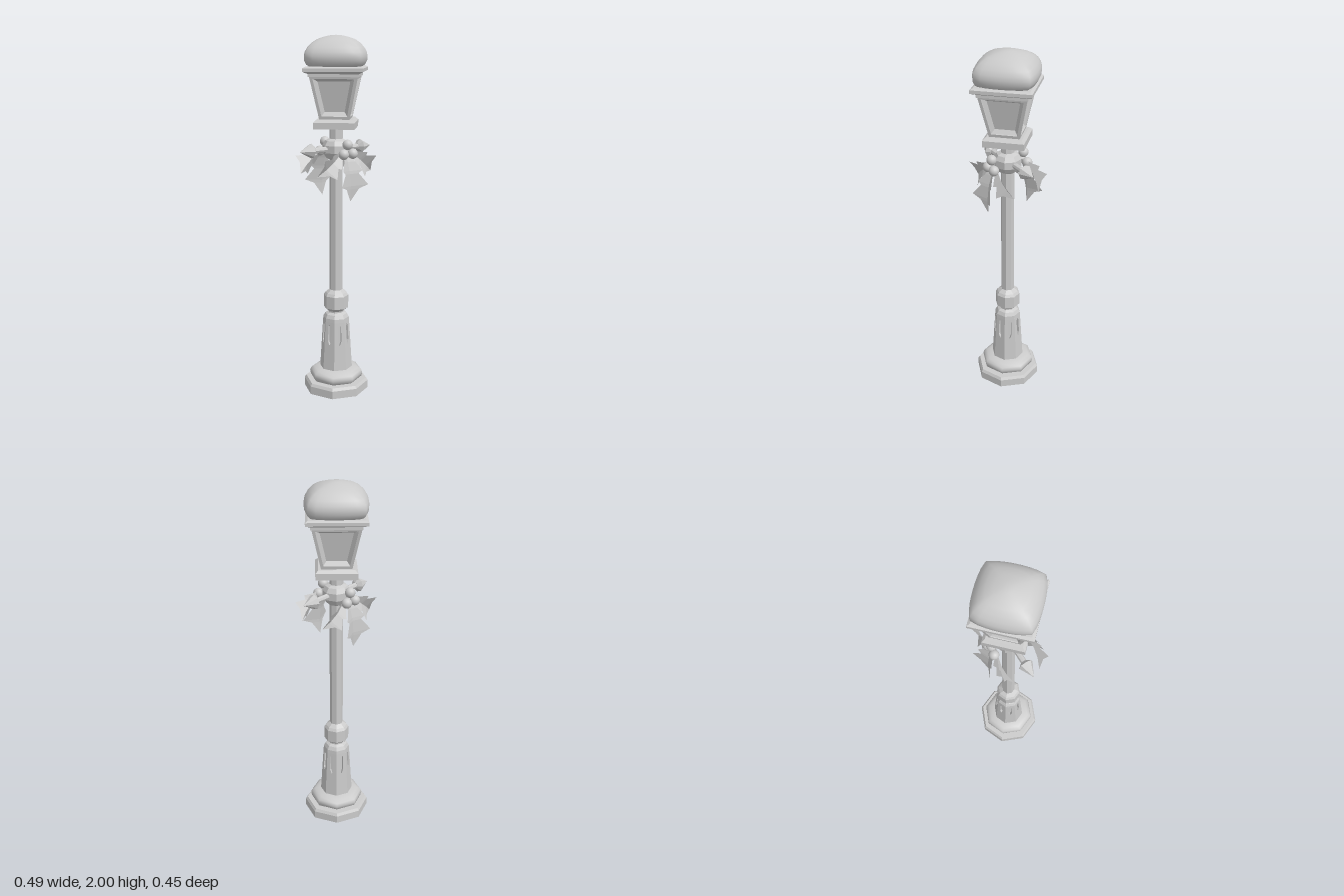
import * as THREE from 'three';
import { mergeVertices } from 'three/addons/utils/BufferGeometryUtils.js';

const flat = new THREE.MeshStandardMaterial({ color: 0xcccccc, flatShading: true });
const smooth = new THREE.MeshStandardMaterial({ color: 0xcccccc });
const thin = new THREE.MeshStandardMaterial({ color: 0xcccccc, flatShading: true, side: THREE.DoubleSide });
const V2 = ([x, y]) => new THREE.Vector2(x, y);

function add(parent, name, geometry, material = flat) {
  const mesh = new THREE.Mesh(geometry, material);
  mesh.name = name;
  parent.add(mesh);
  return mesh;
}

const turned = (points, sides) => new THREE.LatheGeometry(points.map(V2), sides);

function meshFrom(points, index) {
  const g = new THREE.BufferGeometry();
  g.setAttribute('position', new THREE.Float32BufferAttribute(points.flat(), 3));
  g.setIndex(index);
  g.computeVertexNormals();
  return g;
}

// Trapezoid plate with a hole, placed on one leaning side of a prism
function sidePanel(parent, name, { w0, w1, a0, a1, y0, y1, hole, depth, angle }) {
  const lean = Math.atan2(a1 - a0, y1 - y0);
  const h = Math.hypot(a1 - a0, y1 - y0);
  const shape = new THREE.Shape([[-w0, 0], [w0, 0], [w1, h], [-w1, h]].map(V2));
  shape.holes.push(new THREE.Path(hole.map(V2)));
  const g = new THREE.ExtrudeGeometry(shape, { depth, bevelEnabled: false });
  g.translate(0, 0, -depth);
  const place = (geo) => geo.rotateX(lean).translate(0, y0, a0).rotateY(angle);
  add(parent, name, place(g));
  return place;
}

// Holly leaf folded up along its rib: root and tip, half width, and how far the edges lift
function leafGeometry(root, tip, width, lift) {
  const a = new THREE.Vector3(...root), b = new THREE.Vector3(...tip);
  const along = b.clone().sub(a).normalize();
  const out = new THREE.Vector3(0, 0, 1);
  out.addScaledVector(along, -out.dot(along)).normalize();
  const across = along.clone().cross(out);
  const outline = [[0, 0.15], [0.22, 0.4], [0.4, 0.74], [0.46, 0.5], [0.7, 1], [0.76, 0.48], [1, 0]];
  const points = [], index = [];
  outline.forEach(([t, w], i) => {
    const rib = a.clone().lerp(b, t).addScaledVector(out, 0.02 * Math.sin(Math.PI * t));
    for (const s of [-1, 0, 1]) {
      const p = rib.clone().addScaledVector(across, s * w * width).addScaledVector(out, Math.abs(s) * w * lift);
      points.push(p.toArray());
    }
    if (i) for (const k of [0, 1]) {
      const q = 3 * (i - 1) + k;
      index.push(q, q + 1, q + 4, q, q + 4, q + 3);
    }
  });
  return meshFrom(points, index);
}

function buildPost(group) {
  add(group, 'basePlinth', turned([[0, 0], [0.185, 0], [0.185, 0.045], [0.175, 0.06], [0, 0.06]], 8));
  add(group, 'baseMoulding', turned([[0.135, 0.06], [0.148, 0.07], [0.153, 0.09], [0.147, 0.108],
    [0.128, 0.12], [0.1, 0.128], [0.08, 0.13]], 8), smooth);

  // Fluted pedestal: a core wrapped in eight slotted plates
  const pedestal = new THREE.Group();
  pedestal.name = 'pedestal';
  group.add(pedestal);
  add(pedestal, 'pedestalCore', turned([[0.074, 0.12], [0.06, 0.41]], 8));
  const c = Math.cos(Math.PI / 8), s = Math.sin(Math.PI / 8);
  for (let i = 0; i < 8; i++) {
    sidePanel(pedestal, 'flutedSide', {
      w0: 0.093 * s, w1: 0.075 * s, a0: 0.093 * c, a1: 0.075 * c, y0: 0.12, y1: 0.41,
      hole: [[0, 0.155], [0.01, 0.18], [0.01, 0.268], [0, 0.278], [-0.01, 0.268], [-0.01, 0.18]],
      depth: 0.014, angle: (i + 0.5) * Math.PI / 4,
    });
  }
  add(group, 'pedestalTop', turned([[0.05, 0.408], [0.075, 0.408], [0.073, 0.43], [0.062, 0.45], [0.045, 0.46],
    [0.045, 0.468], [0.07, 0.488], [0.07, 0.56], [0.06, 0.575], [0.037, 0.593]], 8));
  add(group, 'pole', turned([[0.037, 0.45], [0.037, 1.52]], 8));
  add(group, 'upperCollar', turned([[0.037, 1.335], [0.055, 1.345], [0.075, 1.375], [0.075, 1.415],
    [0.06, 1.44], [0.037, 1.45]], 8));
}

function buildCrossbar(group) {
  add(group, 'crossbar', new THREE.CylinderGeometry(0.016, 0.016, 0.32, 8).rotateZ(Math.PI / 2).translate(0, 1.395, 0));
  for (const side of [-1, 1]) {
    const spike = turned([[0, 0.15], [0.018, 0.15], [0.04, 0.168], [0, 0.245]], 8);
    add(group, 'crossbarSpike', spike.rotateZ(-side * Math.PI / 2).translate(0, 1.395, 0));
  }
}

function buildHolly(group) {
  for (const turn of [0, Math.PI]) {
    const sprig = new THREE.Group();
    sprig.name = 'hollySprig';
    sprig.rotation.y = turn;
    group.add(sprig);
    add(sprig, 'middleLeaf', leafGeometry([0, 1.39, 0.08], [0, 1.12, 0.125], 0.09, 0.04), thin);
    for (const side of [-1, 1]) {
      add(sprig, 'sideLeaf', leafGeometry([side * 0.02, 1.39, 0.08], [side * 0.185, 1.265, 0.075], 0.068, 0.04), thin);
    }
    for (const [x, y, z] of [[0, 1.425, 0.1], [-0.031, 1.375, 0.105], [0.031, 1.375, 0.105]]) {
      add(sprig, 'berry', new THREE.SphereGeometry(0.028, 16, 12).translate(x, y, z), smooth);
    }
  }
}

function buildLantern(group) {
  const lantern = new THREE.Group();
  lantern.name = 'lantern';
  group.add(lantern);
  // Square parts stand with their corners on the axes
  add(lantern, 'lanternBase', turned([[0, 1.51], [0.157, 1.51], [0.157, 1.545], [0.135, 1.56], [0, 1.56]], 4));
  add(lantern, 'lanternCornice', turned([[0, 1.785], [0.188, 1.785], [0.188, 1.8], [0.225, 1.812],
    [0.225, 1.83], [0.205, 1.838], [0, 1.838]], 4));

  // Tapered frames with bevelled, recessed panes
  const r = Math.SQRT1_2, w0 = 0.115 * r, w1 = 0.182 * r;
  const h = Math.hypot(w1 - w0, 0.23);
  const inset = (m, z) => {
    const at = (y) => w0 + (w1 - w0) * y / h - m;
    return [[-at(m), m, z], [at(m), m, z], [at(h - m), h - m, z], [-at(h - m), h - m, z]];
  };
  for (let i = 0; i < 4; i++) {
    const place = sidePanel(lantern, 'lanternFrame', {
      w0, w1, a0: w0, a1: w1, y0: 1.56, y1: 1.79, hole: inset(0.016, 0), depth: 0.008,
      angle: (i + 0.5) * Math.PI / 2,
    });
    const bevel = [];
    for (let k = 0; k < 4; k++) {
      const n = (k + 1) % 4;
      bevel.push(k, n, n + 4, k, n + 4, k + 4);
    }
    add(lantern, 'paneBevel', place(meshFrom([...inset(0.016, -0.006), ...inset(0.035, -0.024)], bevel)));
    add(lantern, 'pane', place(meshFrom(inset(0.035, -0.024), [0, 1, 2, 0, 2, 3])));
  }

  // Snow cap: a turned dome pulled out to a rounded square
  const snow = turned([[0, 1.836], [0.17, 1.836], [0.19, 1.846], [0.203, 1.868], [0.205, 1.89], [0.2, 1.912],
    [0.184, 1.935], [0.155, 1.958], [0.115, 1.977], [0.07, 1.99], [0.03, 1.998], [0, 2]], 32);
  const pos = snow.attributes.position;
  for (let i = 0; i < pos.count; i++) {
    const x = pos.getX(i), z = pos.getZ(i), rad = Math.hypot(x, z);
    if (rad < 1e-6) continue;
    const p = 1.25 + 0.75 * Math.max(0, 1 - rad / 0.17);
    const f = (Math.abs(x / rad) ** p + Math.abs(z / rad) ** p) ** (-1 / p);
    pos.setXYZ(i, x * f, pos.getY(i), z * f);
  }
  snow.deleteAttribute('uv');
  snow.deleteAttribute('normal');
  const cap = mergeVertices(snow, 1e-5);
  cap.computeVertexNormals();
  add(lantern, 'snowCap', cap, smooth);
}

export function createModel() {
  const group = new THREE.Group();
  group.name = 'streetLamp';
  buildPost(group);
  buildCrossbar(group);
  buildHolly(group);
  buildLantern(group);
  return group;
}
